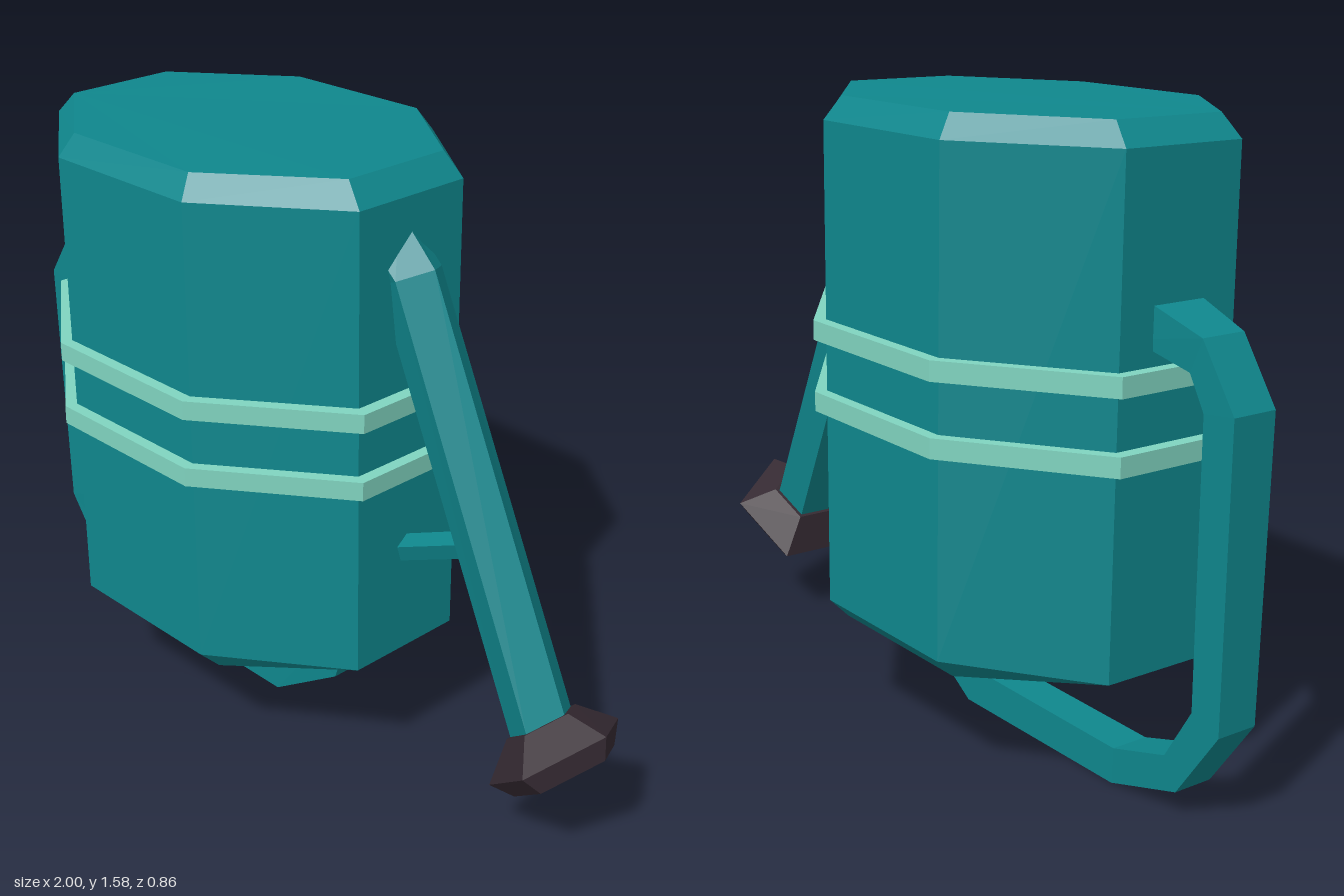
import * as THREE from 'three';

const V = (x, y, z) => new THREE.Vector3(x, y, z);

// Flat-faced skin through rings of equal point count, closed by end caps.
function loft(rings) {
  const n = rings[0].length, last = rings.length - 1, tris = [];
  for (let r = 0; r < last; r++) {
    for (let i = 0; i < n; i++) {
      const j = (i + 1) % n, a = rings[r], b = rings[r + 1];
      tris.push([a[i], a[j], b[j]], [a[i], b[j], b[i]]);
    }
  }
  for (let i = 1; i < n - 1; i++) {
    tris.push([rings[0][0], rings[0][i + 1], rings[0][i]]);
    tris.push([rings[last][0], rings[last][i], rings[last][i + 1]]);
  }
  // turn every face outward, whatever the ring direction
  let volume = 0;
  for (const [a, b, c] of tris) volume += a.dot(b.clone().cross(c));
  if (volume < 0) tris.forEach(t => t.reverse());
  const geometry = new THREE.BufferGeometry().setFromPoints(tris.flat());
  geometry.computeVertexNormals();
  return geometry;
}

// Long octagon: xs are the four x stations, ys the heights at them.
function octagon(xs, ys, zEnd, zMid) {
  const zs = [zEnd, zMid, zMid, zEnd];
  const front = xs.map((x, i) => V(x, ys[i], zs[i]));
  const back = xs.map((x, i) => V(x, ys[i], -zs[i])).reverse();
  return [...front, ...back];
}

// Pentagon standing across the z = 0 plane, from its apex to its flat side.
function pentagon(ax, ay, bx, by) {
  const apex = V(ax, ay, 0), span = V(bx, by, 0).sub(apex);
  const R = span.length() / 1.809, dir = span.normalize();
  const centre = apex.clone().addScaledVector(dir, R);
  return Array.from({ length: 5 }, (_, i) => {
    const t = i * Math.PI * 2 / 5;
    const p = centre.clone().addScaledVector(dir, -R * Math.cos(t));
    p.z = R * Math.sin(t);
    return p;
  });
}

export function createModel() {
  const group = new THREE.Group();
  const material = (name, color) => {
    const m = new THREE.MeshStandardMaterial({ color });
    m.name = name;
    return m;
  };
  const teal = material('teal', 0x0f878d);
  const mint = material('mint', 0x80d4c0);
  const dark = material('dark plum', 0x352a32);
  const add = (name, rings, mat) => {
    const mesh = new THREE.Mesh(loft(rings), mat);
    mesh.name = name;
    group.add(mesh);
  };

  // Tank, bevelled at the top and bottom
  add('tank', [
    octagon([-0.70, -0.41, 0.04, 0.31], [0.30, 0.27, 0.277, 0.31], 0.145, 0.345),
    octagon([-0.75, -0.425, 0.035, 0.357], [0.32, 0.325, 0.332, 0.337], 0.165, 0.40),
    octagon([-0.768, -0.442, 0.02, 0.34], [1.505, 1.51, 1.517, 1.522], 0.165, 0.40),
    octagon([-0.718, -0.425, 0.0, 0.29], [1.56, 1.566, 1.573, 1.58], 0.15, 0.362),
  ], teal);

  // Two bands around the tank
  for (const [name, y] of [['lowerBand', 0.81], ['upperBand', 0.985]]) {
    const xs = [-0.79, -0.442, 0.035, 0.38];
    const ys = xs.map(x => y + (x + 0.79) * 0.016);
    add(name, [octagon(xs, ys, 0.18, 0.43),
      octagon(xs, ys.map(v => v + 0.048), 0.18, 0.43)], mint);
  }

  // Spout with an elbow at the tank
  add('spout', [
    pentagon(0.30, 1.475, 0.20, 1.37),
    pentagon(0.415, 1.365, 0.285, 1.305),
    pentagon(0.87, 0.395, 0.755, 0.295),
  ], teal);

  // Brace between tank and spout
  add('spoutBrace', [
    pentagon(0.31, 0.64, 0.335, 0.583),
    pentagon(0.60, 0.775, 0.625, 0.718),
  ], teal);

  // Sprinkler head
  add('sprinklerHead', [
    pentagon(0.88, 0.405, 0.75, 0.29),
    pentagon(0.992, 0.40, 0.747, 0.18),
    pentagon(0.995, 0.335, 0.805, 0.166),
  ], dark);

  // Handle: outer x, y, inner x, y, half width
  const handle = [
    [-0.70, 1.19, -0.70, 1.085, 0.077],
    [-0.90, 1.12, -0.865, 1.04, 0.06],
    [-1.0, 0.97, -0.91, 0.96, 0.06],
    [-0.985, 0.25, -0.90, 0.28, 0.055],
    [-0.855, 0.07, -0.815, 0.145, 0.053],
    [-0.635, 0.003, -0.64, 0.093, 0.05],
    [-0.07, 0.01, -0.07, 0.105, 0.05],
    [0.16, 0.165, 0.08, 0.21, 0.053],
    [0.225, 0.34, 0.08, 0.31, 0.06],
  ];
  add('handle', handle.map(([ox, oy, ix, iy, w]) =>
    [V(ox, oy, w), V(ix, iy, w), V(ix, iy, -w), V(ox, oy, -w)]), teal);

  return group;
}
